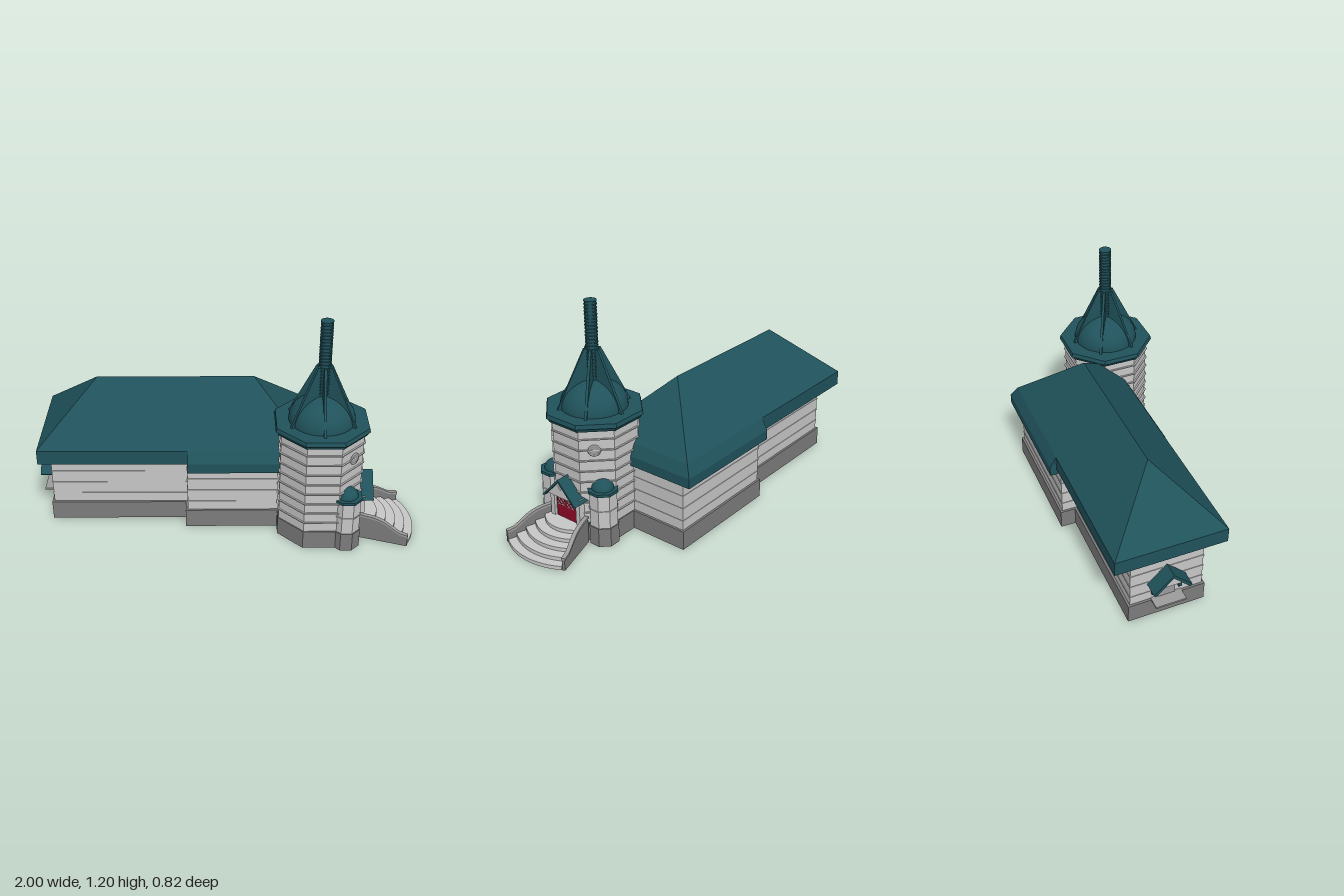
import * as THREE from 'three';

const mat = (name, color) => {
  const m = new THREE.MeshStandardMaterial({ color });
  m.name = name;
  return m;
};

export function createModel() {
  const teal = mat('teal roof', 0x20525b);
  const wall = mat('pale siding', 0xc7c7c7);
  const stone = mat('grey stone', 0x7c7c7c);
  const trim = mat('grey trim', 0x9c9c9c);
  const red = mat('red door', 0x8c0a26);
  const root = new THREE.Group();
  root.name = 'building';

  const add = (name, geo, material, x = 0, y = 0, z = 0, parent = root) => {
    const mesh = new THREE.Mesh(geo, material);
    mesh.name = name;
    mesh.position.set(x, y, z);
    parent.add(mesh);
    return mesh;
  };
  // Box from its limits on each axis
  const block = (name, m, x0, x1, y0, y1, z0, z1) =>
    add(name, new THREE.BoxGeometry(x1 - x0, y1 - y0, z1 - z0), m, (x0 + x1) / 2, (y0 + y1) / 2, (z0 + z1) / 2);
  // Flat-sided octagon, a = distance from the axis to a side
  const octagon = (name, m, x, z, y0, y1, a, aTop = a) => {
    const k = Math.cos(Math.PI / 8);
    const g = new THREE.CylinderGeometry(aTop / k, a / k, y1 - y0, 8).rotateY(Math.PI / 8).toNonIndexed();
    g.computeVertexNormals();
    return add(name, g, m, x, (y0 + y1) / 2, z);
  };
  const dome = (name, x, y, z, r, h) => {
    const g = new THREE.SphereGeometry(r, 32, 12, 0, Math.PI * 2, 0, Math.PI / 2).scale(1, h / r, 1);
    return add(name, g, teal, x, y, z);
  };
  const extrude = (pts, depth) =>
    new THREE.ExtrudeGeometry(new THREE.Shape(pts.map(p => new THREE.Vector2(p[0], p[1]))), { depth, bevelEnabled: false });
  // Symmetric profile in the z-y plane, extruded along x
  const alongX = (name, m, pts, x0, x1, z) => add(name, extrude(pts, x1 - x0).rotateY(Math.PI / 2), m, x0, 0, z);

  // Hipped or gabled roof: rectangular loops [x0, x1, half width, y] from the bottom up, then the ridge
  const roof = (name, loops, r0, r1) => {
    const zc = -0.09;
    const v = loops.flatMap(([x0, x1, h, y]) => [[x0, y, zc + h], [x1, y, zc + h], [x1, y, zc - h], [x0, y, zc - h]]);
    const t = v.length - 4, a = v.length, b = a + 1;
    v.push([r0, 0.76, zc], [r1, 0.76, zc]);
    const faces = [[3, 2, 1, 0], [t, t + 1, b, a], [t + 2, t + 3, a, b], [t + 1, t + 2, b], [t + 3, t, a]];
    for (let n = 0; n < t; n += 4)
      for (let i = 0; i < 4; i++) {
        const j = (i + 1) % 4;
        faces.push([n + i, n + j, n + j + 4, n + i + 4]);
      }
    const pos = [];
    for (const f of faces)
      for (let i = 1; i < f.length - 1; i++) pos.push(...v[f[0]], ...v[f[i]], ...v[f[i + 1]]);
    const g = new THREE.BufferGeometry();
    g.setAttribute('position', new THREE.Float32BufferAttribute(pos, 3));
    g.computeVertexNormals();
    return add(name, g, teal);
  };

  // Long hall in two sections, the left one narrower
  for (const [side, x0, x1, z0, z1, top] of [
    ['left', -0.92, -0.19, -0.278, 0.102, 0.42], ['right', -0.2, 0.44, -0.357, 0.18, 0.4]]) {
    block(side + 'HallBase', stone, x0 - 0.012, x1 + 0.012, 0, 0.103, z0 - 0.012, z1 + 0.012);
    block(side + 'HallWall', wall, x0, x1, 0.1, top, z0, z1);
    for (const y of [0.155, 0.225, 0.295, 0.35])
      block(side + 'HallCourse', wall, x0 - 0.003, x1 + 0.003, y - 0.003, y + 0.003, z0 - 0.003, z1 + 0.003);
  }
  roof('leftHallRoof', [[-0.97, -0.19, 0.288, 0.4], [-0.97, -0.19, 0.288, 0.48]], -0.67, -0.19);
  roof('rightHallRoof', [[-0.195, 0.462, 0.322, 0.367], [-0.195, 0.462, 0.322, 0.42], [-0.195, 0.433, 0.288, 0.48]], -0.195, 0.15);

  // Octagonal tower
  const tx = 0.487, tz = 0.167;
  octagon('towerBase', stone, tx, tz, 0, 0.103, 0.214);
  octagon('towerWall', wall, tx, tz, 0.1, 0.62, 0.209);
  for (let i = 0; i < 8; i++) {
    const y = 0.16 + i * 0.058;
    octagon('towerCourse', wall, tx, tz, y - 0.003, y + 0.003, 0.217);
  }
  octagon('lowerCornice', teal, tx, tz, 0.612, 0.635, 0.222, 0.232);
  octagon('upperCornice', teal, tx, tz, 0.633, 0.655, 0.237, 0.232);
  dome('towerDome', tx, 0.655, tz, 0.17, 0.14);

  // Six fins bracing the spire
  for (let i = 0; i < 6; i++) {
    const g = extrude([[0, 0.655], [0.188, 0.655], [0.043, 0.955], [0, 0.955]], 0.014);
    g.translate(0, 0, -0.007).rotateY(Math.PI / 6 + i * Math.PI / 3);
    add('spireFin', g, teal, tx, 0, tz);
  }
  add('spire', new THREE.CylinderGeometry(0.027, 0.027, 0.42, 12), teal, tx, 0.99, tz);
  for (let i = 0; i < 23; i++)
    add('spireRing', new THREE.CylinderGeometry(0.032, 0.032, 0.006, 16), teal, tx, 0.812 + i * 0.0175, tz);

  // Round windows on the two outer diagonal sides
  for (const s of [1, -1]) {
    const w = new THREE.Group();
    w.name = 'roundWindow';
    w.position.set(tx + 0.157, 0.505, tz + s * 0.14);
    w.rotation.y = s > 0 ? Math.PI / 4 : Math.PI * 0.75;
    root.add(w);
    add('windowFrame', new THREE.TorusGeometry(0.026, 0.006, 6, 24), trim, 0, 0, 0.002, w);
    add('windowPane', new THREE.CircleGeometry(0.025, 24), trim, 0, 0, 0.006, w);
  }

  // Small turrets flanking the entrance
  for (const s of [1, -1]) {
    const x = 0.62, z = tz + s * 0.164;
    octagon('turretBase', stone, x, z, 0, 0.103, 0.073);
    octagon('turretWall', wall, x, z, 0.1, 0.29, 0.068);
    octagon('turretCourse', wall, x, z, 0.195, 0.2, 0.072);
    octagon('turretCornice', teal, x, z, 0.283, 0.298, 0.074);
    dome('turretDome', x, 0.297, z, 0.056, 0.05);
  }

  // Entrance porch: walls, gable and roof
  block('porchWall', wall, 0.66, 0.71, 0.1, 0.25, tz - 0.09, tz + 0.09);
  alongX('porchGable', wall, [[-0.095, 0.238], [0.095, 0.238], [0, 0.333]], 0.66, 0.752, tz);
  for (const s of [1, -1])
    block('porchPost', wall, 0.69, 0.725, 0.1, 0.245, tz + s * 0.087 - 0.013, tz + s * 0.087 + 0.013);
  alongX('porchRoof', teal, [[-0.112, 0.228], [-0.104, 0.222], [0, 0.331], [0.104, 0.222], [0.112, 0.228], [0, 0.347]], 0.62, 0.767, tz);
  const diamond = block('gableDiamond', trim, 0.75, 0.756, 0.287, 0.317, tz - 0.015, tz + 0.015);
  diamond.rotation.x = Math.PI / 4;

  // Double door with latticed panes
  for (const s of [1, -1]) {
    const zc = tz + s * 0.0325;
    block('doorLeaf', red, 0.707, 0.715, 0.1, 0.237, zc - 0.0325, zc + 0.0325);
    block('doorPane', trim, 0.714, 0.717, 0.17, 0.23, zc - 0.026, zc + 0.026);
    for (const d of [1, -1])
      for (const [o, len] of [[0, 0.074], [0.026, 0.036], [-0.026, 0.036]]) {
        const bar = block('lattice', red, 0.716, 0.719, 0.1975, 0.2025, -len / 2, len / 2);
        bar.position.z = zc + o / 2;
        bar.position.y += d * o / 2;
        bar.rotation.x = d * Math.PI / 4;
      }
  }

  // Fan-shaped steps
  [0.36, 0.315, 0.265, 0.215, 0.165].forEach((r, i) => {
    let a = 0.5;
    for (let k = 0; k < 12; k++) a = Math.asin((0.105 + 0.33 * (r * Math.cos(a) - 0.06)) / r);
    const pts = [[0.66, 0.095], [0.66, -0.095]];
    for (let k = 0; k <= 16; k++) {
      const t = -a + (2 * a * k) / 16;
      pts.push([0.64 + r * Math.cos(t), r * Math.sin(t)]);
    }
    add('step', extrude(pts, 0.02 * (i + 1)).rotateX(-Math.PI / 2), wall, 0, 0, tz);
  });

  // Sweeping side walls of the steps, with caps
  const sweep = new THREE.SplineCurve([[0, 0.137], [0.08, 0.133], [0.14, 0.116], [0.19, 0.086], [0.225, 0.066], [0.268, 0.059]]
    .map(p => new THREE.Vector2(...p))).getPoints(16).map(p => [p.x, p.y]);
  const under = sweep.map(([x, y]) => [x, y - 0.002]);
  const over = sweep.map(([x, y]) => [x, y + 0.01]).reverse();
  for (const s of [1, -1]) {
    const place = (name, pts, w, m) => {
      const g = extrude(pts, w).translate(0, 0, -w / 2).rotateY(-s * 0.32);
      add(name, g, m, 0.69, 0, tz + s * 0.113);
    };
    place('stepSideWall', [[0, 0], [0.268, 0], ...sweep.slice().reverse()], 0.014, stone);
    place('stepSideCap', [...under, ...over], 0.022, trim);
  }

  // Side doorway at the far end, with canopy and sill
  const sz = -0.09;
  alongX('sideCanopy', teal, [[-0.1, 0.212], [-0.09, 0.2], [0, 0.292], [0.09, 0.2], [0.1, 0.212], [0, 0.312]], -1, -0.915, sz);
  alongX('sideGable', wall, [[-0.072, 0.215], [0.072, 0.215], [0, 0.288]], -0.975, -0.915, sz);
  block('sideDoor', trim, -0.928, -0.918, 0.105, 0.215, sz - 0.045, sz + 0.045);
  for (const s of [1, -1])
    block('canopyBracket', teal, -0.935, -0.915, 0.14, 0.215, sz + s * 0.07 - 0.008, sz + s * 0.07 + 0.008);
  block('sideSill', trim, -0.988, -0.915, 0.098, 0.108, sz - 0.08, sz + 0.08);

  return root;
}
